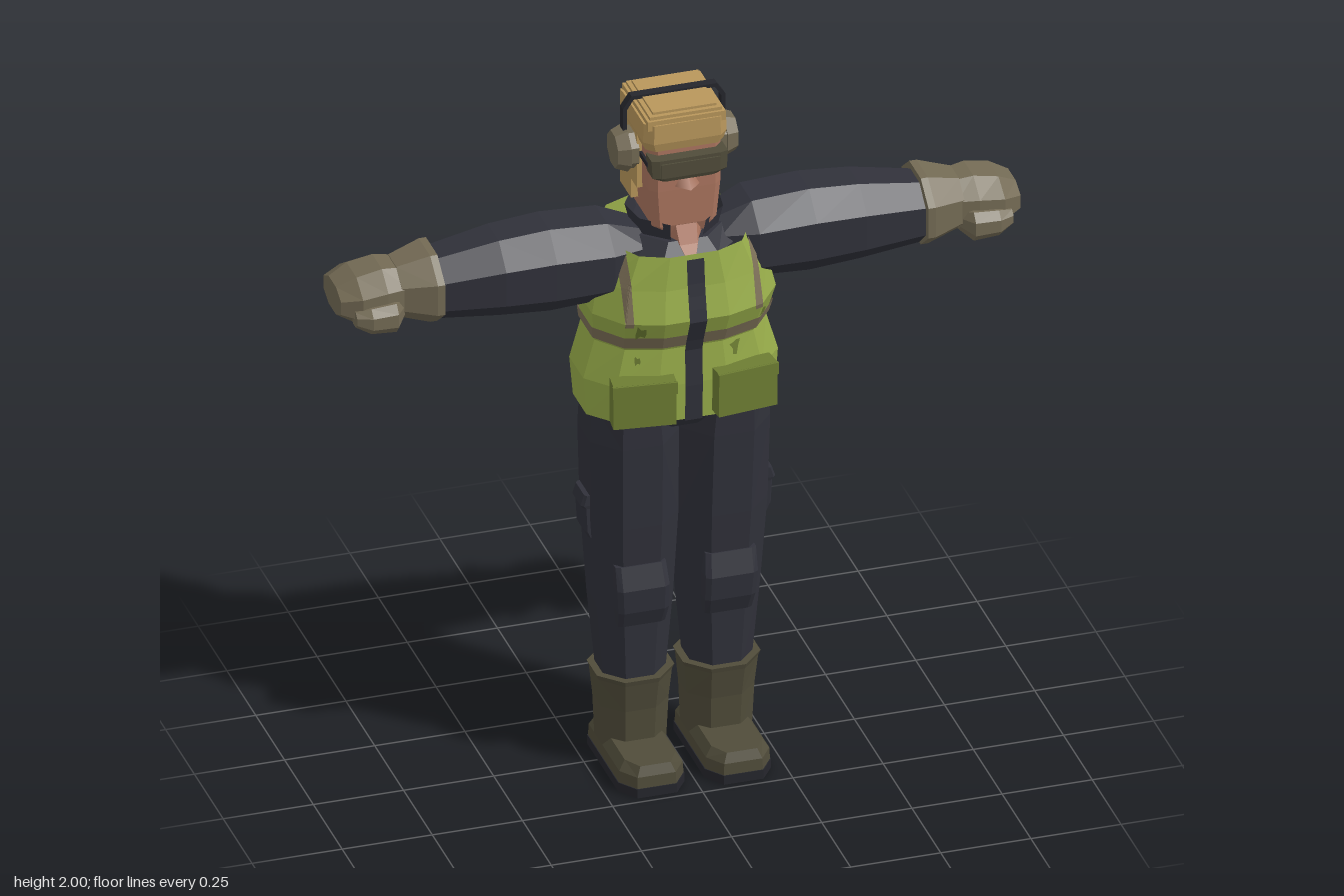
import * as THREE from 'three';

const mat = (name, color, side = THREE.FrontSide) => {
  const m = new THREE.MeshStandardMaterial({ color, side });
  m.name = name;
  return m;
};

// Unit cross-sections: octagon, chamfered box, and the vest outline
const corners = (q) => [...q, ...q.slice().reverse().map(([a, b]) => [-a, b]),
  ...q.map(([a, b]) => [-a, -b]), ...q.slice().reverse().map(([a, b]) => [a, -b])];
const OCT = corners([[1, 0.42], [0.45, 1]]);
const BOX = corners([[1, 0.8], [0.8, 1]]);
const TOE = [[1, -1], [1, 0.68], [0.6, 1], [-0.6, 1], [-1, 0.68], [-1, -1]];
const EDGE = [[1, 0.35], [0.75, 0.8], [0.35, 0.98]];
const VEST = corners(EDGE);

// Vest outline by height: y, x min, x max, z min, z max
const vestRows = [
  [1.09, -0.262, 0.262, -0.165, 0.165], [1.2, -0.27, 0.27, -0.178, 0.17],
  [1.31, -0.238, 0.238, -0.178, 0.165], [1.41, -0.255, 0.255, -0.17, 0.21],
  [1.5, -0.235, 0.235, -0.172, 0.19], [1.595, -0.19, 0.19, -0.182, 0.18]];
const vestRow = (y) => {
  const i = Math.max(1, vestRows.findIndex((r) => r[0] >= y));
  const a = vestRows[i - 1], b = vestRows[i], t = (y - a[0]) / (b[0] - a[0]);
  return a.map((v, k) => v + (b[k] - v) * t);
};
function vestZ(x, y, dir) {
  const [, , hw, z0, z1] = vestRow(y);
  const u = Math.min(1, Math.abs(x) / hw);
  const pts = [[0, 0.98], [0.35, 0.98], [0.75, 0.8], [1, 0.35]];
  const i = Math.max(1, pts.findIndex((p) => p[0] >= u));
  const [a, b] = [pts[i - 1], pts[i]];
  const f = a[1] + (b[1] - a[1]) * (u - a[0]) / (b[0] - a[0]);
  return (z0 + z1) / 2 + dir * (f * (z1 - z0) / 2 + 0.006);
}

function flatGeometry(points, index) {
  const g = new THREE.BufferGeometry();
  g.setAttribute('position', new THREE.Float32BufferAttribute(points.flat(), 3));
  g.setIndex(index);
  const flat = g.toNonIndexed();
  flat.computeVertexNormals();
  return flat;
}

// Skin a stack of cross-sections [t, aMin, aMax, bMin, bMax] along y (a=x, b=z) or x (a=y, b=z)
function loft(rows, shape = OCT, axis = 'y', s = 1, cap = true) {
  const pts = [], n = shape.length;
  for (const [t, a0, a1, b0, b1] of rows) for (const [u, v] of shape) {
    const a = (a0 + a1) / 2 + u * (a1 - a0) / 2, b = (b0 + b1) / 2 + v * (b1 - b0) / 2;
    pts.push(axis === 'y' ? [a * s, t, b] : [t * s, a, b]);
  }
  const tris = [];
  for (let r = 0; r < rows.length - 1; r++) for (let i = 0; i < n; i++) {
    const a = r * n + i, b = r * n + (i + 1) % n;
    tris.push([a, a + n, b], [b, a + n, b + n]);
  }
  const top = (rows.length - 1) * n;
  if (cap) for (let i = 1; i < n - 1; i++) tris.push([0, i, i + 1], [top, top + i + 1, top + i]);
  // Signed volume tells whether the faces point outward
  const V = (i) => new THREE.Vector3(...pts[i]).sub(new THREE.Vector3(...pts[0]));
  const vol = tris.reduce((q, [a, b, c]) => q + V(a).dot(V(b).cross(V(c))), 0);
  return flatGeometry(pts, tris.flatMap(([a, b, c]) => (vol < 0 ? [a, c, b] : [a, b, c])));
}

// Thin panel lying on the vest
function panel(x0, x1, y0, y1, dir) {
  const pts = [], idx = [], nx = 6, ny = 14;
  for (let j = 0; j <= ny; j++) for (let i = 0; i <= nx; i++) {
    const x = x0 + (x1 - x0) * i / nx, y = y0 + (y1 - y0) * j / ny;
    pts.push([x, y, vestZ(x, y, dir)]);
    if (i < nx && j < ny) {
      const a = j * (nx + 1) + i, b = a + nx + 1;
      idx.push(...(dir > 0 ? [a, a + 1, b, a + 1, b + 1, b] : [a, b, a + 1, a + 1, b, b + 1]));
    }
  }
  return flatGeometry(pts, idx);
}

// Ragged stain lying on the vest
function stain(cx, cy, r, dir) {
  const pts = [[cx, cy, vestZ(cx, cy, dir)]], idx = [], n = 9;
  for (let i = 0; i < n; i++) {
    const a = i / n * Math.PI * 2, q = r * (0.8 + 0.35 * Math.sin(i * 2.4 + cx * 40));
    const x = cx + Math.cos(a) * q * 0.8, y = cy + Math.sin(a) * q * 1.2;
    pts.push([x, y, vestZ(x, y, dir)]);
    const j = 1 + (i + 1) % n;
    idx.push(...(dir > 0 ? [0, i + 1, j] : [0, j, i + 1]));
  }
  return flatGeometry(pts, idx);
}

const box = (x0, x1, y0, y1, z0, z1) => new THREE.BoxGeometry(x1 - x0, y1 - y0, z1 - z0)
  .translate((x0 + x1) / 2, (y0 + y1) / 2, (z0 + z1) / 2);

export function createModel() {
  const model = new THREE.Group();
  model.name = 'worker';
  const D = THREE.DoubleSide;
  const skin = mat('skin', 0xab755f), hair = mat('hair', 0xb8965b), green = mat('vestGreen', 0x98ad4a, D);
  const olive = mat('pocketGreen', 0x6d7d33, D), stripe = mat('reflectiveStripe', 0x7d7058, D);
  const cloth = mat('darkCloth', 0x30313a, D), glove = mat('glove', 0x736a54), boot = mat('boot', 0x504c3a);
  const black = mat('black', 0x25262c);
  const add = (name, geometry, material) => {
    const m = new THREE.Mesh(geometry, material);
    m.name = name;
    model.add(m);
    return m;
  };

  // Torso
  add('pelvis', loft([[1.03, -0.08, 0.08, -0.09, 0.09], [1.09, -0.22, 0.22, -0.135, 0.13],
    [1.16, -0.24, 0.24, -0.15, 0.14]]), cloth);
  add('shirt', loft([[1.45, -0.18, 0.18, -0.14, 0.14], [1.57, -0.17, 0.17, -0.14, 0.15],
    [1.61, -0.12, 0.12, -0.12, 0.12]]), cloth);
  add('vest', loft(vestRows, VEST, 'y', 1, false), green);
  const grow = (y) => vestRow(y).map((v, k) => (k ? v + Math.sign(v) * 0.005 : v));
  add('waistStripe', loft([grow(1.32), grow(1.36)], VEST, 'y', 1, false), stripe);
  add('zip', panel(-0.024, 0.024, 1.09, 1.585, 1).translate(0, 0, 0.003), cloth);
  for (const s of [-1, 1]) {
    add('frontStripe', panel(s * 0.18 - 0.011, s * 0.18 + 0.011, 1.4, 1.585, 1), stripe);
    add('backStripe', panel(s * 0.12 - 0.013, s * 0.12 + 0.013, 1.36, 1.59, -1), stripe);
    const pocket = add('vestPocket', new THREE.BoxGeometry(0.17, 0.13, 0.055), olive);
    pocket.position.set(s * 0.14, 1.17, 0.17);
    pocket.rotation.y = s * 0.12;
    add('pocketFlap', new THREE.BoxGeometry(0.174, 0.035, 0.008).translate(0, 0.047, 0.029), olive)
      .applyMatrix4(pocket.matrix.compose(pocket.position, pocket.quaternion, pocket.scale));
  }
  for (const [x, y, r, d] of [[0.12, 1.285, 0.022, 1], [-0.15, 1.38, 0.022, 1], [0.2, 1.37, 0.018, 1],
    [-0.15, 1.28, 0.012, 1], [0.16, 1.52, 0.03, -1], [0.06, 1.44, 0.03, -1], [-0.15, 1.47, 0.035, -1],
    [-0.07, 1.2, 0.035, -1], [0.15, 1.24, 0.03, -1], [-0.17, 1.27, 0.025, -1], [0.03, 1.27, 0.02, -1]])
    add('vestStain', stain(x, y, r, d), olive);

  // Arms and gloves
  for (const s of [-1, 1]) {
    add('sleeve', loft([[0.1, 1.5, 1.615, -0.09, 0.09], [0.2, 1.425, 1.652, -0.13, 0.12],
      [0.36, 1.415, 1.66, -0.13, 0.117], [0.5, 1.425, 1.65, -0.122, 0.112],
      [0.69, 1.44, 1.615, -0.1, 0.085]], OCT, 'x', s), cloth);
    add('gloveCuff', loft([[0.67, 1.437, 1.637, -0.125, 0.113], [0.69, 1.437, 1.637, -0.125, 0.113],
      [0.78, 1.463, 1.612, -0.09, 0.08]], OCT, 'x', s), glove);
    add('hand', loft([[0.76, 1.463, 1.608, -0.09, 0.08], [0.82, 1.45, 1.613, -0.112, 0.09],
      [0.89, 1.46, 1.598, -0.118, 0.09], [0.942, 1.487, 1.57, -0.095, 0.06]], OCT, 'x', s), glove);
    add('thumb', loft([[0.77, 1.475, 1.53, 0.03, 0.075], [0.8, 1.455, 1.54, 0.05, 0.118],
      [0.87, 1.46, 1.535, 0.05, 0.118], [0.91, 1.48, 1.525, 0.05, 0.1]], OCT, 'x', s), glove);
  }

  // Legs and boots
  for (const s of [-1, 1]) {
    add('trouserLeg', loft([[0.25, 0.035, 0.205, -0.09, 0.08], [0.5, 0.014, 0.228, -0.108, 0.095],
      [0.75, 0.002, 0.245, -0.12, 0.113], [1, 0.003, 0.25, -0.133, 0.128],
      [1.12, 0.02, 0.243, -0.135, 0.13]], OCT, 'y', s), cloth);
    add('kneePad', loft([[0.45, 0.055, 0.185, 0.04, 0.1], [0.5, 0.05, 0.19, 0.04, 0.121],
      [0.57, 0.05, 0.195, 0.04, 0.128], [0.635, 0.055, 0.195, 0.04, 0.108]], BOX, 'y', s), cloth);
    add('legPocket', loft([[0.7, 0.2, 0.248, -0.045, 0.04], [0.72, 0.2, 0.258, -0.045, 0.04],
      [0.79, 0.2, 0.262, -0.045, 0.04], [0.8, 0.2, 0.27, -0.047, 0.042],
      [0.83, 0.2, 0.26, -0.047, 0.042]], BOX, 'y', s), cloth);
    add('bootShaft', loft([[0.06, 0.03, 0.208, -0.09, 0.075], [0.18, 0.025, 0.213, -0.095, 0.083],
      [0.265, 0.018, 0.221, -0.108, 0.098], [0.28, 0.012, 0.227, -0.11, 0.102]], OCT, 'y', s), boot);
    add('bootFoot', loft([[0.025, 0.03, 0.21, -0.09, 0.228], [0.06, 0.032, 0.208, -0.09, 0.226],
      [0.087, 0.05, 0.19, -0.085, 0.215]], TOE, 'y', s), boot);
    add('sole', loft([[0, 0.028, 0.212, -0.093, 0.23], [0.027, 0.028, 0.212, -0.093, 0.23]], TOE, 'y', s), black);
  }

  // Neck, collar and face
  add('neck', loft([[1.57, -0.03, 0.03, -0.07, 0.15], [1.6, -0.055, 0.055, -0.07, 0.13],
    [1.68, -0.07, 0.07, -0.07, 0.09]]), skin);
  add('collar', new THREE.CylinderGeometry(0.132, 0.112, 0.08, 8, 1, true, 0.38, Math.PI * 2 - 0.76)
    .toNonIndexed().translate(0, 1.622, 0), cloth).geometry.computeVertexNormals();
  add('face', loft([[1.62, -0.065, 0.065, -0.08, 0.095], [1.65, -0.09, 0.09, -0.09, 0.106],
    [1.76, -0.1, 0.1, -0.09, 0.11], [1.92, -0.1, 0.1, -0.09, 0.11]], BOX), skin);
  add('nose', new THREE.ConeGeometry(0.034, 0.06, 4).translate(0, 1.803, 0.115), skin);

  // Hair in stepped blocks, with a tied ponytail
  add('hairCrown', loft([[1.885, -0.108, 0.108, -0.113, 0.112], [1.91, -0.116, 0.116, -0.117, 0.118],
    [1.965, -0.114, 0.114, -0.115, 0.116]], BOX), hair);
  [[1.978, 0.108, 0.112], [1.987, 0.1, 0.104], [1.994, 0.088, 0.092]].forEach(([y, w, d]) =>
    add('hairTop', box(-w, w, 1.95, y, -d, d), hair));
  add('hairBack', box(-0.113, 0.113, 1.68, 1.96, -0.115, -0.02), hair);
  for (const s of [-1, 1])
    add('sideburn', box(s * 0.106 - 0.008, s * 0.106 + 0.008, 1.74, 1.92, -0.03, 0.035), hair);
  add('ponytail', loft([[1.6, -0.02, 0.02, -0.226, -0.19], [1.66, -0.045, 0.045, -0.222, -0.13],
    [1.72, -0.055, 0.055, -0.2, -0.115], [1.81, -0.028, 0.028, -0.158, -0.115],
    [1.853, -0.05, 0.05, -0.17, -0.105]]), hair);
  add('hairTie', loft([[1.806, -0.038, 0.038, -0.168, -0.105], [1.826, -0.038, 0.038, -0.168, -0.105]]), black);

  // Goggles
  add('goggles', loft([[1.806, -0.075, 0.075, 0.09, 0.138], [1.82, -0.103, 0.103, 0.08, 0.143],
    [1.872, -0.106, 0.106, 0.08, 0.143]], BOX), boot);
  add('lens', box(-0.082, 0.082, 1.82, 1.862, 0.138, 0.147), boot);
  add('goggleStrap', box(-0.107, 0.107, 1.835, 1.85, -0.02, 0.1), black);

  // Ear defenders
  for (const s of [-1, 1]) for (const [name, r0, r1, x, w] of
    [['earPad', 0.058, 0.058, 0.122, 0.025], ['earCup', 0.052, 0.066, 0.15, 0.034]]) {
    const g = new THREE.CylinderGeometry(r0, r1, w, 8).rotateY(Math.PI / 8).rotateZ(-s * Math.PI / 2)
      .translate(s * x, 1.842, -0.01).toNonIndexed();
    g.computeVertexNormals();
    add(name, g, glove);
  }
  const arch = [[0.142, 1.88], [0.142, 1.965], [0.118, 2], [-0.118, 2], [-0.142, 1.965], [-0.142, 1.88],
    [-0.131, 1.88], [-0.131, 1.96], [-0.113, 1.989], [0.113, 1.989], [0.131, 1.96], [0.131, 1.88]];
  add('headband', new THREE.ExtrudeGeometry(new THREE.Shape(arch.map((p) => new THREE.Vector2(...p))),
    { depth: 0.025, bevelEnabled: false }).translate(0, 0, -0.023), black);
  return model;
}
